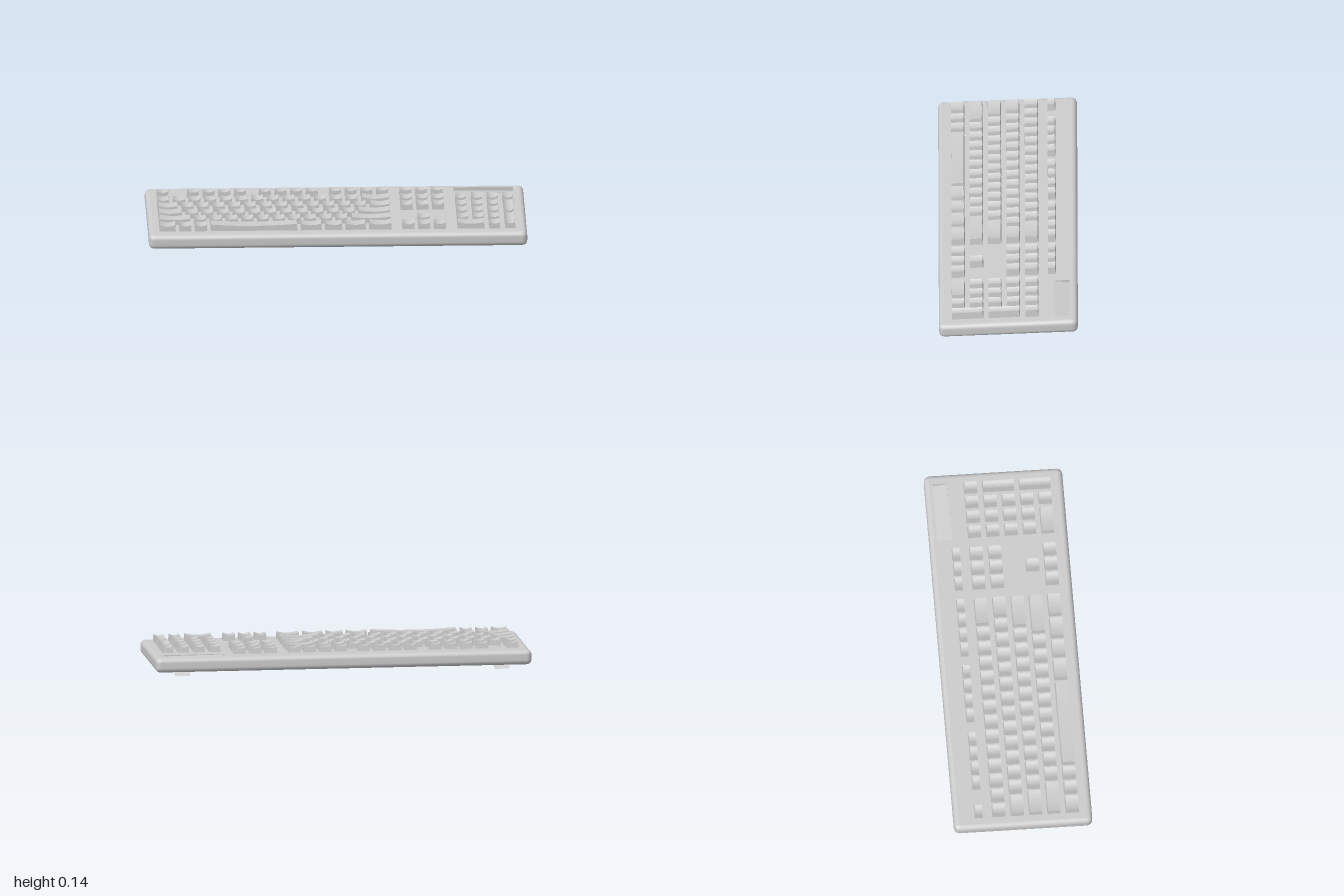
import * as THREE from 'three';

const grey = new THREE.MeshStandardMaterial({ color: 0xcccccc });
const greyDouble = new THREE.MeshStandardMaterial({ color: 0xcccccc, side: THREE.DoubleSide, flatShading: true });

const HALF_X = 1, HALF_Z = 0.367, HALF_Y = 0.0385; // slab half sizes
const ROUND = 0.025;                               // rounding of the slab's rim
const UNIT = 0.083, GAP = 0.017;                   // key pitch and gap
const ROWS = [-0.127, -0.029, 0.068, 0.165, 0.262];
const KEY_DEPTH = 0.071, KEY_HEIGHT = 0.036;

function addMesh(parent, name, geometry, material = grey) {
  const mesh = new THREE.Mesh(geometry, material);
  mesh.name = name;
  parent.add(mesh);
  return mesh;
}

// Rounded rectangle in x/z, pulled in by an inset
function rimLoop(inset) {
  const r = 0.03 - inset, points = [];
  const signs = [[1, 1], [-1, 1], [-1, -1], [1, -1]];
  signs.forEach(([sx, sz], q) => {
    for (let i = 0; i <= 5; i++) {
      const t = (q + i / 5) * Math.PI / 2;
      points.push(new THREE.Vector2(
        sx * (HALF_X - 0.03) + r * Math.cos(t),
        sz * (HALF_Z - 0.03) + r * Math.sin(t)));
    }
  });
  return points;
}

// Rim of the slab: loops stacked along a rounded edge profile
function rimGeometry() {
  const positions = [], index = [], levels = [];
  for (const s of [-1, 1]) {
    for (let i = 0; i <= 6; i++) {
      const t = (s < 0 ? 6 - i : i) / 6 * Math.PI / 2;
      levels.push([ROUND * (1 - Math.cos(t)), s * (HALF_Y - ROUND + ROUND * Math.sin(t))]);
    }
  }
  let n = 0;
  for (const [inset, y] of levels) {
    const loop = rimLoop(inset);
    n = loop.length;
    loop.forEach(p => positions.push(p.x, y, p.y));
  }
  for (let j = 0; j < levels.length - 1; j++) {
    for (let i = 0; i < n; i++) {
      const a = j * n + i, b = j * n + (i + 1) % n;
      index.push(a, a + n, b, b, a + n, b + n);
    }
  }
  const g = new THREE.BufferGeometry();
  g.setAttribute('position', new THREE.Float32BufferAttribute(positions, 3));
  g.setIndex(index);
  g.computeVertexNormals();
  return g;
}

// Sunken indicator window: four walls and a floor that drops to the rear
function recessGeometry(corners, depths) {
  const positions = [], index = [];
  corners.forEach(([x, z], i) => positions.push(x, HALF_Y, z, x, HALF_Y - depths[i], z));
  for (let i = 0; i < 4; i++) {
    const a = i * 2, b = ((i + 1) % 4) * 2;
    index.push(a, a + 1, b, b, a + 1, b + 1);
  }
  index.push(1, 5, 3, 1, 7, 5);
  const g = new THREE.BufferGeometry();
  g.setAttribute('position', new THREE.Float32BufferAttribute(positions, 3));
  g.setIndex(index);
  const flat = g.toNonIndexed();
  flat.computeVertexNormals();
  return flat;
}

// Keycap: tapered sides, top scooped across its width, leaning rear face
function keyGeometry(width, depth) {
  const w = width / 2, t = w - 0.004, dip = 0.009, base = -0.004;
  const shape = new THREE.Shape();
  shape.moveTo(-w, base);
  shape.lineTo(w, base);
  shape.lineTo(t, KEY_HEIGHT);
  shape.quadraticCurveTo(0, KEY_HEIGHT - 2 * dip, -t, KEY_HEIGHT);
  const g = new THREE.ExtrudeGeometry(shape, { depth, bevelEnabled: false, curveSegments: 8 });
  g.translate(0, 0, -depth / 2);
  const p = g.attributes.position;
  for (let i = 0; i < p.count; i++) {
    const rise = Math.max(0, p.getY(i)) / KEY_HEIGHT;
    p.setZ(i, p.getZ(i) + rise * (p.getZ(i) < 0 ? 0.005 : -0.002));
  }
  g.computeVertexNormals();
  return g;
}

export function createModel() {
  const model = new THREE.Group();
  model.name = 'keyboard';
  const tilted = new THREE.Group();
  tilted.name = 'tiltedBody';
  tilted.rotation.x = 0.047;
  tilted.position.y = 0.0555;
  model.add(tilted);

  // Case: rim, base plate and top plate with the window opening
  addMesh(tilted, 'caseRim', rimGeometry());
  const plate = rimLoop(ROUND);
  addMesh(tilted, 'basePlate', new THREE.ShapeGeometry(new THREE.Shape(plate)).rotateX(Math.PI / 2))
    .position.y = -HALF_Y;
  const opening = [[0.63, -0.325], [0.945, -0.325], [0.945, -0.243], [0.63, -0.243]];
  const top = new THREE.Shape(plate.map(p => new THREE.Vector2(p.x, -p.y)));
  top.holes.push(new THREE.Path(opening.map(([x, z]) => new THREE.Vector2(x, -z))));
  addMesh(tilted, 'topPlate', new THREE.ShapeGeometry(top).rotateX(-Math.PI / 2)).position.y = HALF_Y;
  addMesh(tilted, 'indicatorRecess', recessGeometry(opening, [0.018, 0.022, 0.004, 0.003]), greyDouble);

  // Small indicator lights along the window's front edge
  for (const x of [0.785, 0.868, 0.93]) {
    addMesh(tilted, 'indicatorLight', new THREE.BoxGeometry(0.035, 0.012, 0.012))
      .position.set(x, HALF_Y - 0.005, -0.243);
  }

  const keys = new THREE.Group();
  keys.name = 'keys';
  keys.position.y = HALF_Y;
  tilted.add(keys);
  const addKey = (name, x, z, width = UNIT - GAP, depth = KEY_DEPTH) =>
    addMesh(keys, name, keyGeometry(width, depth)).position.set(x, 0, z);

  // Rear row of short keys, in groups
  const rearGroups = [[-0.909, 1], [-0.749, 4], [-0.369, 4], [0.002, 4], [0.374, 3]];
  for (const [start, count] of rearGroups) {
    for (let i = 0; i < count; i++) addKey('rearRowKey', start + i * UNIT, -0.234, 0.066, 0.043);
  }

  // Main block: key widths in units, each row fifteen units long
  const ones = n => Array(n).fill(1);
  const mainRows = [
    [...ones(13), 2],
    [1.5, ...ones(12), 1.5],
    [1.75, ...ones(11), 2.25],
    [2.25, ...ones(10), 2.75],
    [1.25, 1, 1, 5.75, 1.55, 1.3, 1.5, 1.65],
  ];
  mainRows.forEach((row, r) => {
    let x = -0.951;
    for (const units of row) {
      const name = units > 5 ? 'spaceBar' : units > 1 ? 'wideKey' : 'mainKey';
      addKey(name, x + units * UNIT / 2, ROWS[r], units * UNIT - GAP);
      x += units * UNIT;
    }
  });

  // Navigation and arrow keys
  for (let i = 0; i < 3; i++) {
    const x = 0.374 + i * UNIT;
    addKey('navigationKey', x, ROWS[0]);
    addKey('navigationKey', x, ROWS[1]);
    addKey('arrowKey', x, ROWS[4]);
  }
  addKey('arrowKey', 0.374 + UNIT, ROWS[3]);

  // Number pad
  const padX = i => 0.663 + i * UNIT;
  for (let r = 0; r < 4; r++) {
    for (let i = 0; i < 3; i++) addKey('padKey', padX(i), ROWS[r], 0.06);
  }
  addKey('padKey', padX(3), ROWS[0], 0.06);
  addKey('padWideKey', padX(0.5), ROWS[4], 2 * UNIT - 0.022);
  addKey('padKey', padX(2), ROWS[4], 0.06);
  for (const r of [1, 3]) {
    addKey('padTallKey', padX(3), (ROWS[r] + ROWS[r + 1]) / 2, 0.056, 0.168);
  }

  // Fold-out rear feet: wedges reaching the ground
  const wedge = new THREE.Shape([
    new THREE.Vector2(0.218, 0.036), new THREE.Vector2(0.283, 0), new THREE.Vector2(0.256, 0.04),
  ]);
  for (const side of [-1, 1]) {
    const g = new THREE.ExtrudeGeometry(wedge, { depth: 0.08, bevelEnabled: false });
    g.translate(0, 0, -0.04).rotateY(Math.PI / 2);
    addMesh(model, 'rearFoot', g).position.x = side * 0.85;
  }
  return model;
}
